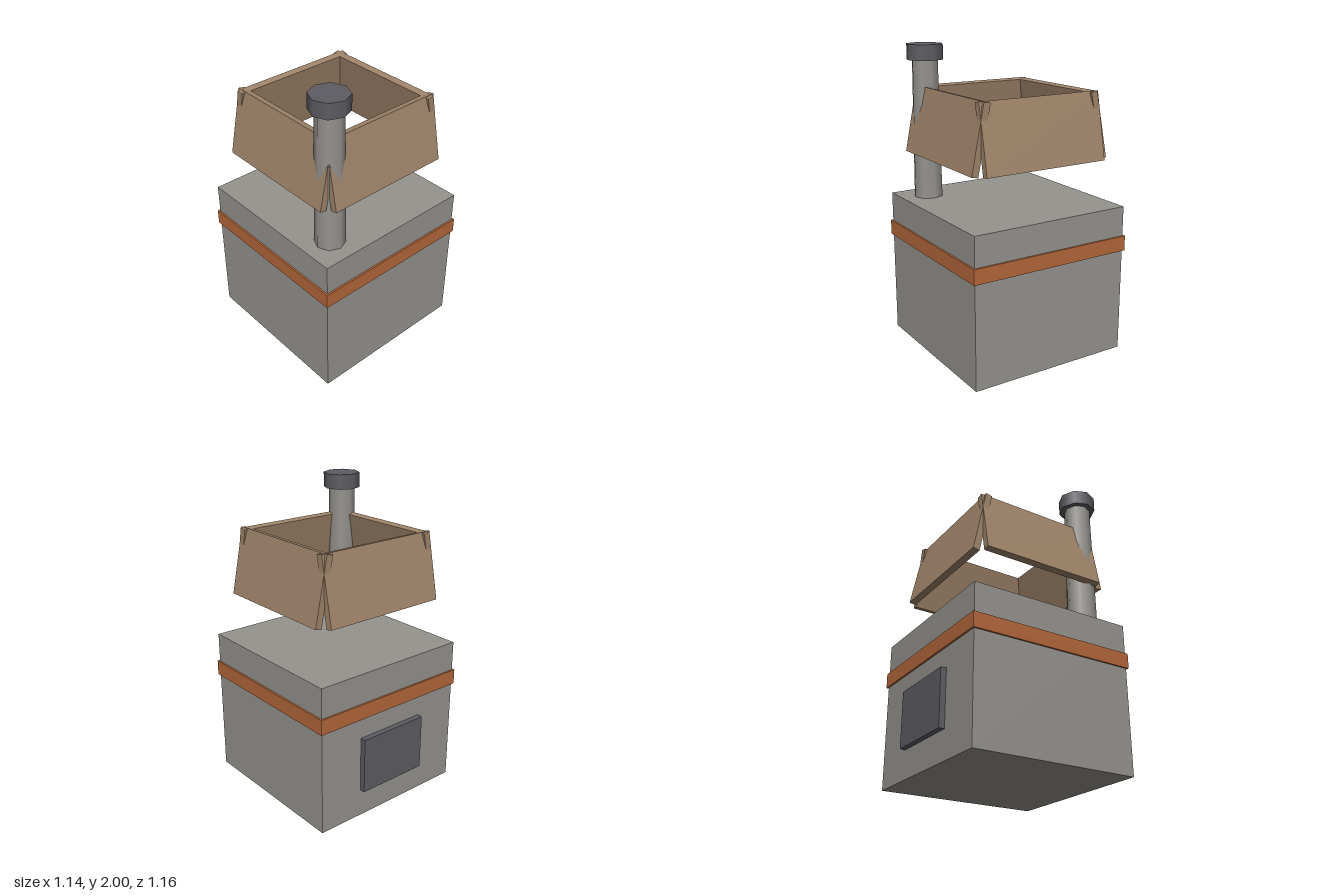
import * as THREE from 'three';

const stone = new THREE.MeshStandardMaterial({ color: 0x95938e });
stone.name = 'stone grey';
const rust = new THREE.MeshStandardMaterial({ color: 0xb4673a });
rust.name = 'rust orange';
const wood = new THREE.MeshStandardMaterial({ color: 0xa0846a });
wood.name = 'wood brown';
const iron = new THREE.MeshStandardMaterial({ color: 0x5d5c63 });
iron.name = 'dark iron';

const CENTRE_Z = 0.012;

function add(parent, name, geometry, material, x, y, z) {
  const mesh = new THREE.Mesh(geometry, material);
  mesh.name = name;
  mesh.position.set(x, y, z);
  parent.add(mesh);
  return mesh;
}

export function createModel() {
  const model = new THREE.Group();
  model.name = 'furnaceHouse';

  // Block body with a band around it and a door at the back
  add(model, 'body', new THREE.BoxGeometry(1.112, 0.99, 1.112), stone, 0, 0.495, CENTRE_Z);
  add(model, 'band', new THREE.BoxGeometry(1.136, 0.1, 1.136), rust, 0, 0.743, CENTRE_Z);
  add(model, 'backDoor', new THREE.BoxGeometry(0.495, 0.37, 0.05), iron, 0, 0.373, -0.556);

  // Four boards leaning inward, leaving the roof open
  const roof = new THREE.Group();
  roof.name = 'roof';
  roof.position.set(0, 1.51, CENTRE_Z);
  model.add(roof);
  const boardGeometry = new THREE.BoxGeometry(0.865, 0.44, 0.045);
  ['front', 'left', 'back', 'right'].forEach((side, i) => {
    const pivot = new THREE.Group();
    pivot.name = side + 'RoofPanel';
    pivot.rotation.y = i * Math.PI / 2;
    const board = add(pivot, side + 'RoofBoard', boardGeometry, wood, 0, 0, 0.432);
    board.rotation.x = -0.2;
    roof.add(pivot);
  });

  // Tapered chimney with an octagonal cap
  const chimney = new THREE.Group();
  chimney.name = 'chimney';
  chimney.position.set(-0.372, 0, 0.383);
  model.add(chimney);
  add(chimney, 'chimneyPipe', new THREE.CylinderGeometry(0.087, 0.098, 0.95, 8), stone, 0, 1.445, 0);
  add(chimney, 'chimneyCap', new THREE.CylinderGeometry(0.123, 0.123, 0.1, 8), iron, 0, 1.95, 0);

  return model;
}
